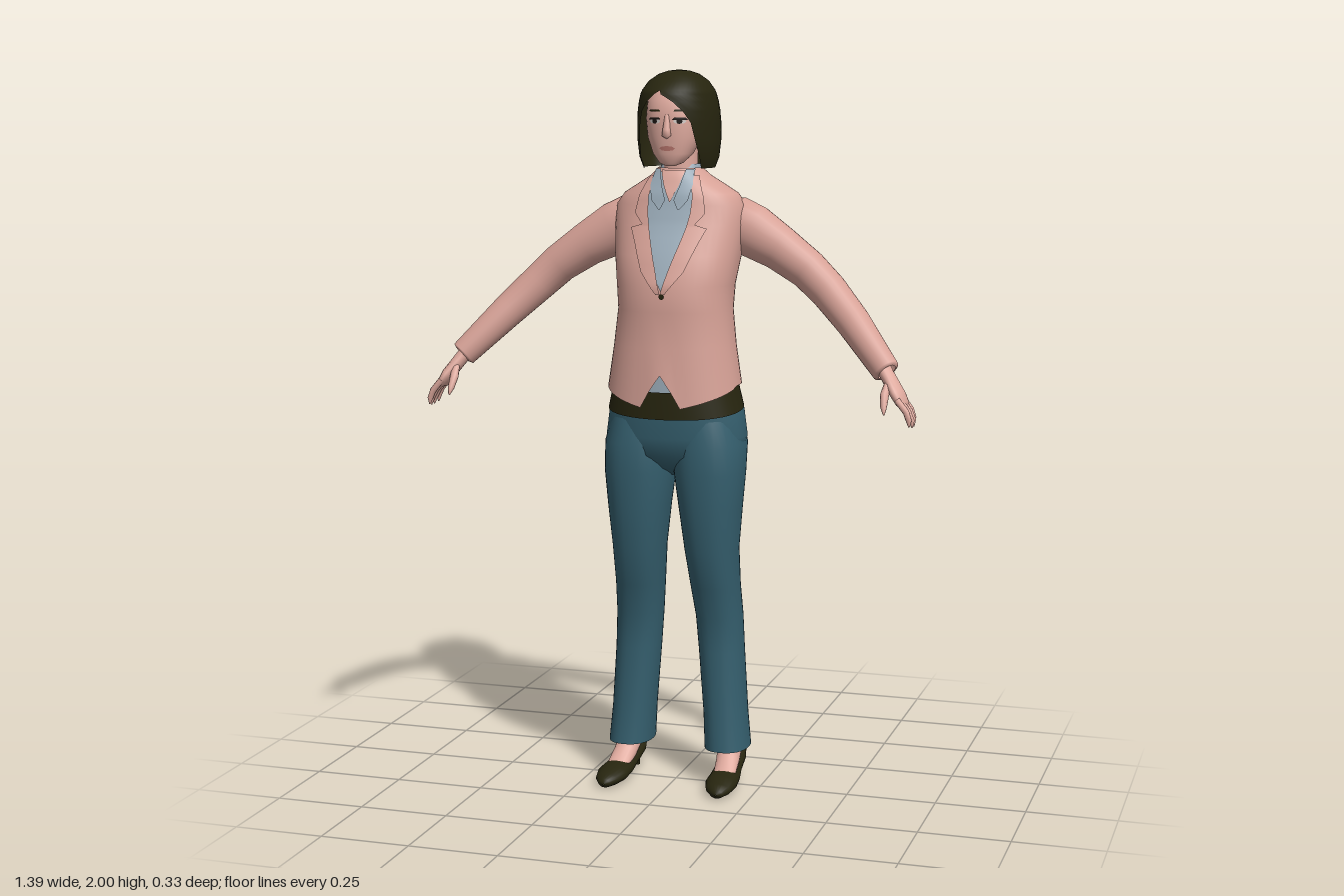
import * as THREE from 'three';
import { mergeVertices } from 'three/addons/utils/BufferGeometryUtils.js';

const mat = (name, color, side = THREE.FrontSide) => {
  const m = new THREE.MeshStandardMaterial({ color, side });
  m.name = name;
  return m;
};
const lerp = THREE.MathUtils.lerp;
const TAU = Math.PI * 2;

// Smooth surface from a grid: u runs right, v runs up when seen from outside
function grid(nu, nv, fn) {
  const pos = [], idx = [];
  for (let i = 0; i <= nv; i++) for (let j = 0; j <= nu; j++) pos.push(...fn(j / nu, i));
  for (let i = 0; i < nv; i++) for (let j = 0; j < nu; j++) {
    const a = i * (nu + 1) + j, b = a + nu + 1;
    idx.push(a, a + 1, b, a + 1, b + 1, b);
  }
  let g = new THREE.BufferGeometry();
  g.setAttribute('position', new THREE.Float32BufferAttribute(pos, 3));
  g.setIndex(idx);
  g = mergeVertices(g, 1e-5);
  g.computeVertexNormals();
  return g;
}

// Stacked rounded rings; row = [y, halfWidth, zFront, zBack, xCentre, openLeft, openRight]
const pw = (v, p) => Math.sign(v) * Math.abs(v) ** p;
function loft(rows, { seg = 40, p = 0.88, yf = (y) => y } = {}) {
  return grid(seg, rows.length - 1, (u, i) => {
    const [y, hw, zf, zb, xc = 0, aL = 0, aR = 0] = rows[i];
    const a = u === 1 && !aR ? 0 : lerp(aL, TAU - aR, u);
    return [xc + hw * pw(Math.sin(a), p), yf(y, a, i), (zf + zb) / 2 + (zf - zb) / 2 * pw(Math.cos(a), p)];
  });
}

// Front depth of a loft at (x, y)
function frontZ(rows, x, y, p = 0.88) {
  let i = 0;
  while (i < rows.length - 2 && rows[i + 1][0] < y) i++;
  const t = (y - rows[i][0]) / (rows[i + 1][0] - rows[i][0]);
  const [hw, zf, zb] = [1, 2, 3].map((k) => lerp(rows[i][k], rows[i + 1][k], t));
  const s = Math.min(1, Math.abs(x) / hw) ** (1 / p);
  return (zf + zb) / 2 + (zf - zb) / 2 * Math.sqrt(1 - s * s) ** p;
}

// Thin patch lying on the front of a loft; edge = [y, xMin, xMax] rising
function patch(rows, edge, off, sub = 4) {
  return grid(8, (edge.length - 1) * sub, (u, i) => {
    const k = Math.min(edge.length - 2, Math.floor(i / sub)), t = i / sub - k;
    const [y, x0, x1] = [0, 1, 2].map((c) => lerp(edge[k][c], edge[k + 1][c], t));
    const x = lerp(x0, x1, u);
    return [x, y, frontZ(rows, x, y) + off];
  });
}
const oval = (x, y, rx, ry) => [-1, -0.7, 0, 0.7, 1].map((t) => {
  const w = rx * Math.sqrt(1 - t * t);
  return [y + ry * t, x - w, x + w];
});

// Tapered limb; point = [x, y, z, radius along ref, radius across]
function limb(pts, ref, seg = 20) {
  const c = pts.map((q) => new THREE.Vector3(q[0], q[1], q[2]));
  const r = new THREE.Vector3(...ref);
  return grid(seg, pts.length - 1, (u, i) => {
    const t = c[Math.min(i + 1, c.length - 1)].clone().sub(c[Math.max(i - 1, 0)]).normalize();
    const n1 = r.clone().addScaledVector(t, -r.dot(t)).normalize();
    const n2 = t.clone().cross(n1);
    const a = (u % 1) * TAU;
    return c[i].clone().addScaledVector(n1, Math.cos(a) * pts[i][3])
      .addScaledVector(n2, Math.sin(a) * pts[i][4]).toArray();
  });
}

function mirrored(g) {
  const m = g.clone().scale(-1, 1, 1);
  const ix = m.index.array;
  for (let i = 0; i < ix.length; i += 3) [ix[i], ix[i + 1]] = [ix[i + 1], ix[i]];
  m.computeVertexNormals();
  return m;
}

export function createModel() {
  const D = THREE.DoubleSide;
  const skin = mat('skin', 0xdfaa9e), jacket = mat('jacket pink', 0xd6a196, D);
  const denim = mat('trouser blue', 0x355f6e, D), dark = mat('dark brown', 0x27250f, D);
  const shirt = mat('shirt blue grey', 0x9aabb8, D), white = mat('eye white', 0xd8d0cc);
  const black = mat('eye black', 0x1c1614), lip = mat('lip', 0xb9766d);
  const model = new THREE.Group();
  const add = (name, g, m) => {
    const o = new THREE.Mesh(g, m);
    o.name = name;
    model.add(o);
  };
  const pair = (name, g, m) => {
    add(name + 'Left', g, m);
    add(name + 'Right', mirrored(g), m);
  };

  // Jacket body with a cutaway front hem
  const torso = [
    [1.13, 0.186, 0.152, -0.134], [1.25, 0.17, 0.14, -0.128], [1.35, 0.159, 0.134, -0.132],
    [1.42, 0.163, 0.14, -0.145], [1.5, 0.176, 0.11, -0.156], [1.58, 0.184, 0.07, -0.16],
    [1.635, 0.182, 0.052, -0.157], [1.665, 0.16, 0.045, -0.15], [1.69, 0.12, 0.035, -0.138],
    [1.715, 0.08, 0.026, -0.118], [1.735, 0.06, 0.015, -0.1],
  ];
  const hem = (a) => {
    const d = Math.min(a, TAU - a);
    if (d < 0.26) return lerp(1.18, 1.09, d / 0.26);
    return d < 1.4 ? lerp(1.09, 1.14, (d - 0.26) / 1.14) : 1.145;
  };
  add('jacketBody', loft(torso, { seg: 48, yf: (y, a, i) => (i ? y : hem(a)) }), jacket);
  pair('lapel', patch(torso, [[1.4, 0, 0.012], [1.46, 0.017, 0.06], [1.54, 0.042, 0.092],
    [1.575, 0.052, 0.108], [1.585, 0.054, 0.075], [1.615, 0.06, 0.1], [1.66, 0.062, 0.092],
    [1.715, 0.05, 0.07]], 0.011), jacket);
  add('jacketButton', patch(torso, oval(0.005, 1.395, 0.008, 0.008), 0.014), dark);

  // Shirt: chest panel, collar, lower tail, and the open neck
  add('shirtFront', patch(torso, [[1.41, 0, 0.002], [1.46, -0.025, 0.025], [1.58, -0.062, 0.062],
    [1.66, -0.066, 0.066], [1.725, -0.055, 0.055]], 0.006), shirt);
  add('neckOpening', patch(torso, [[1.645, -0.001, 0.001], [1.69, -0.022, 0.022],
    [1.73, -0.034, 0.034]], 0.01), skin);
  pair('shirtCollar', patch(torso, [[1.625, 0.025, 0.03], [1.65, 0.012, 0.052],
    [1.69, 0.026, 0.06], [1.733, 0.036, 0.056]], 0.014), shirt);
  add('shirtCollarBand', loft([[1.7, 0.063, 0.02, -0.105], [1.745, 0.053, 0.0, -0.095, 0, 0.5, 0.5]]), shirt);
  add('shirtTail', loft([[1.11, 0.16, 0.12, -0.11], [1.25, 0.15, 0.115, -0.11]]), shirt);

  // Sleeves and hands
  const ref = [0.7, 0.7, 0];
  pair('sleeve', limb([[0.11, 1.595, -0.078, 0.05, 0.05], [0.15, 1.585, -0.076, 0.073, 0.06],
    [0.2, 1.56, -0.074, 0.074, 0.06], [0.28, 1.515, -0.066, 0.062, 0.056],
    [0.36, 1.46, -0.06, 0.055, 0.053], [0.42, 1.405, -0.05, 0.052, 0.05],
    [0.5, 1.325, -0.008, 0.047, 0.046], [0.607, 1.208, 0.066, 0.038, 0.036],
    [0.61, 1.205, 0.068, 0.026, 0.025]], ref, 24), jacket);
  pair('palm', limb([[0.595, 1.22, 0.06, 0.02, 0.024], [0.62, 1.185, 0.075, 0.019, 0.026],
    [0.645, 1.15, 0.09, 0.018, 0.038], [0.66, 1.125, 0.096, 0.014, 0.038],
    [0.665, 1.117, 0.098, 0.004, 0.02]], ref, 16), skin);
  for (let i = 0; i < 4; i++) {
    const z = 0.064 + 0.021 * i, e = 0.004 * Math.abs(i - 1.5);
    pair('finger' + (i + 1), limb([[0.65, 1.14, z, 0.009, 0.009], [0.676, 1.108, z + 0.002, 0.009, 0.009],
      [0.69 - e, 1.08 + e, z + 0.004, 0.008, 0.008], [0.691 - e, 1.063 + e, z + 0.005, 0.002, 0.002]], ref, 8), skin);
  }
  pair('thumb', limb([[0.62, 1.18, 0.09, 0.011, 0.011], [0.615, 1.15, 0.118, 0.012, 0.012],
    [0.617, 1.12, 0.138, 0.009, 0.009], [0.62, 1.1, 0.147, 0.002, 0.002]], ref, 8), skin);

  // Trousers: hips, legs, and the belt
  add('hips', loft([[0.885, 0.05, 0.02, -0.03], [0.91, 0.14, 0.07, -0.085], [0.95, 0.192, 0.108, -0.118],
    [1.0, 0.2, 0.116, -0.135], [1.07, 0.19, 0.12, -0.141], [1.13, 0.174, 0.118, -0.13],
    [1.2, 0.155, 0.11, -0.115]]), denim);
  const legRows = [[0.1, 0.08, 0.205, 0.046, -0.126], [0.2, 0.075, 0.196, 0.036, -0.121],
    [0.38, 0.06, 0.186, 0.029, -0.116], [0.48, 0.052, 0.182, 0.034, -0.114],
    [0.57, 0.043, 0.178, 0.062, -0.105], [0.68, 0.032, 0.179, 0.092, -0.091],
    [0.8, 0.017, 0.19, 0.107, -0.095], [0.9, 0.003, 0.199, 0.115, -0.103],
    [0.98, 0.0, 0.199, 0.114, -0.126], [1.05, 0.01, 0.18, 0.1, -0.12]];
  pair('trouserLeg', loft(legRows.map(([y, x0, x1, zf, zb]) => [y, (x1 - x0) / 2, zf, zb, (x0 + x1) / 2]),
    { seg: 32 }), denim);
  add('belt', loft([[1.075, 0.191, 0.128, -0.133], [1.15, 0.174, 0.126, -0.12]],
    { yf: (y, a) => y - 0.02 * Math.cos(a) }), dark);

  // Feet and heeled shoes
  pair('foot', limb([[0.145, 0.2, -0.05, 0.034, 0.034], [0.148, 0.1, -0.046, 0.038, 0.035],
    [0.153, 0.064, 0, 0.027, 0.033], [0.157, 0.043, 0.045, 0.017, 0.032],
    [0.158, 0.036, 0.07, 0.004, 0.02]], [0, 0.7, 0.7]), skin);
  pair('shoe', limb([[0.15, 0.073, -0.113, 0.004, 0.004], [0.15, 0.07, -0.108, 0.026, 0.028],
    [0.15, 0.062, -0.07, 0.027, 0.038], [0.153, 0.041, -0.01, 0.021, 0.038],
    [0.157, 0.03, 0.04, 0.024, 0.043], [0.16, 0.026, 0.09, 0.025, 0.045],
    [0.163, 0.02, 0.13, 0.019, 0.035], [0.164, 0.015, 0.153, 0.013, 0.018],
    [0.164, 0.014, 0.16, 0.002, 0.002]], [0, 1, 0]), dark);
  pair('shoeHeel', limb([[0.15, 0.001, -0.092, 0.001, 0.001], [0.15, 0, -0.092, 0.011, 0.011],
    [0.15, 0.03, -0.091, 0.012, 0.012], [0.15, 0.065, -0.086, 0.024, 0.024]], [0, 0, 1], 12), dark);

  // Neck and head
  add('neck', loft([[1.62, 0.055, 0.02, -0.11], [1.7, 0.048, 0.006, -0.095], [1.8, 0.046, 0.01, -0.09]]), skin);
  const head = [[1.742, 0.012, 0.062, 0.035], [1.75, 0.032, 0.073, 0.01], [1.775, 0.054, 0.079, -0.03],
    [1.82, 0.073, 0.084, -0.07], [1.87, 0.081, 0.085, -0.1], [1.92, 0.078, 0.08, -0.11],
    [1.96, 0.055, 0.045, -0.08], [1.975, 0.01, -0.01, -0.03]];
  add('head', loft(head), skin);
  add('nose', limb([[0, 1.818, 0.083, 0.003, 0.004], [0, 1.825, 0.088, 0.012, 0.013],
    [0, 1.84, 0.087, 0.011, 0.011], [0, 1.88, 0.081, 0.005, 0.006]], [0, 0, 1], 12), skin);
  add('lips', patch(head, oval(0, 1.79, 0.022, 0.007), 0.003), lip);
  pair('eyeWhite', patch(head, oval(0.035, 1.863, 0.017, 0.007), 0.002), white);
  pair('iris', patch(head, oval(0.035, 1.863, 0.008, 0.007), 0.004), black);
  pair('upperLash', patch(head, [[1.867, 0.016, 0.055], [1.873, 0.022, 0.05]], 0.004), black);
  pair('eyebrow', patch(head, [[1.889, 0.018, 0.056], [1.894, 0.022, 0.052]], 0.003), dark);

  // Bobbed hair, open around the face with a side-swept fringe
  add('hair', loft([[1.735, 0.098, 0.06, -0.125, 0, 0.92, 0.98], [1.765, 0.108, 0.08, -0.145, 0, 0.82, 0.92],
    [1.81, 0.112, 0.093, -0.158, 0, 0.7, 0.85], [1.86, 0.111, 0.101, -0.165, 0, 0.6, 0.8],
    [1.89, 0.109, 0.104, -0.163, 0, 0.42, 0.7], [1.915, 0.105, 0.104, -0.158, 0, 0.18, 0.52],
    [1.935, 0.1, 0.1, -0.151, 0, -0.1, 0.3], [1.945, 0.096, 0.095, -0.146, 0, -0.15, 0.15],
    [1.97, 0.079, 0.07, -0.124], [1.988, 0.054, 0.036, -0.094], [1.997, 0.028, 0.004, -0.062],
    [2.0, 0.001, -0.027, -0.03]], { seg: 48, p: 0.92 }), dark);
  return model;
}
